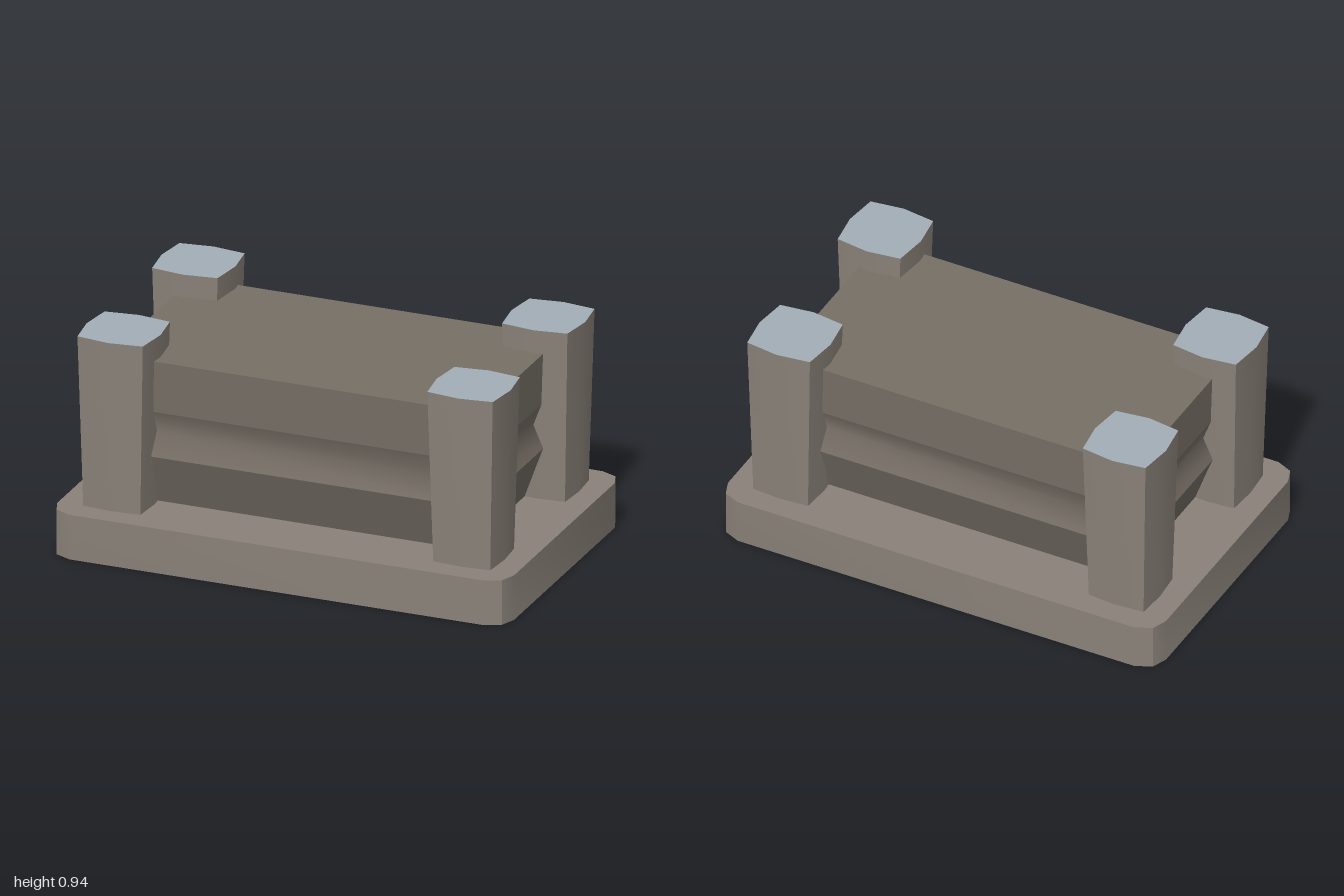
import * as THREE from 'three';
import { toCreasedNormals } from 'three/addons/utils/BufferGeometryUtils.js';

const stone = new THREE.MeshStandardMaterial({ color: 0x8a8279 });
const darkStone = new THREE.MeshStandardMaterial({ color: 0x776f66 });
const capStone = new THREE.MeshStandardMaterial({ color: 0xa3aeb6 });

function geometryFrom(positions, indices) {
  const geo = new THREE.BufferGeometry();
  geo.setAttribute('position', new THREE.Float32BufferAttribute(positions, 3));
  geo.setIndex(indices);
  geo.computeVertexNormals();
  return geo;
}

// Walls through a stack of [outline, y] rings; outlines run from +x towards +z
function walls(rings, closed = true) {
  const n = rings[0][0].length;
  const pos = [], idx = [];
  for (const [outline, y] of rings) for (const [x, z] of outline) pos.push(x, y, z);
  for (let r = 0; r < rings.length - 1; r++) {
    for (let i = 0; i < (closed ? n : n - 1); i++) {
      const a = r * n + i, b = r * n + (i + 1) % n;
      idx.push(a, a + n, b + n, a, b + n, b);
    }
  }
  return geometryFrom(pos, idx);
}

// Flat polygon facing up, or down when flipped
function lid(outline, y, down = false) {
  const pos = [0, y, 0], idx = [];
  outline.forEach(([x, z], i) => {
    pos.push(x, y, z);
    const a = i + 1, b = (i + 1) % outline.length + 1;
    idx.push(0, down ? a : b, down ? b : a);
  });
  return geometryFrom(pos, idx);
}

// Square with slightly bowed sides
function bowedSquare(corner, mid) {
  return [[mid, 0], [corner, corner], [0, mid], [-corner, corner],
    [-mid, 0], [-corner, -corner], [0, -mid], [corner, -corner]];
}

function add(parent, name, geo, material) {
  const mesh = new THREE.Mesh(geo, material);
  mesh.name = name;
  parent.add(mesh);
}

export function createModel() {
  const model = new THREE.Group();
  model.name = 'pedestal';
  const baseTop = 0.195;

  // Base slab with rounded corners
  const corner = [[1, 0.53], [0.975, 0.597], [0.905, 0.628]];
  const flipped = [...corner].reverse();
  const slab = [
    ...corner,
    ...flipped.map(([x, z]) => [-x, z]),
    ...corner.map(([x, z]) => [-x, -z]),
    ...flipped.map(([x, z]) => [x, -z]),
  ];
  const base = new THREE.Group();
  base.name = 'base';
  add(base, 'baseSides', toCreasedNormals(walls([[slab, 0], [slab, baseTop]]), 0.6), stone);
  add(base, 'baseTop', lid(slab, baseTop), stone);
  add(base, 'baseUnderside', lid(slab, 0, true), stone);
  model.add(base);

  // Central block: tapered foot, shallow groove, upright head
  const core = new THREE.Group();
  core.name = 'core';
  const rect = (inset) => {
    const x = 0.807 - inset, z = 0.44 - inset;
    return [[x, -z], [x, z], [-x, z], [-x, -z]];
  };
  const bands = {
    coreFoot: [[0.09, baseTop], [0.005, 0.42]],
    coreGroove: [[0.005, 0.42], [0.045, 0.52], [0.01, 0.615]],
    coreHead: [[0.01, 0.615], [0, 0.84]],
  };
  for (const [name, rows] of Object.entries(bands)) {
    for (let side = 0; side < 4; side++) {
      // Each side is its own strip, so normals blend only along the groove
      const rings = rows.map(([inset, y]) => {
        const r = rect(inset);
        return [[r[side], r[(side + 1) % 4]], y];
      });
      add(core, name, walls(rings, false), darkStone);
    }
  }
  add(core, 'coreTop', lid(rect(0), 0.84), darkStone);
  model.add(core);

  // Four corner posts that widen upwards, with pale tops
  const foot = bowedSquare(0.125, 0.135), head = bowedSquare(0.143, 0.162);
  const shaft = toCreasedNormals(walls([[foot, baseTop], [head, 0.94]]), 0.6);
  const cap = lid(head, 0.94);
  for (const sx of [1, -1]) {
    for (const sz of [1, -1]) {
      const post = new THREE.Group();
      post.name = (sz > 0 ? 'front' : 'back') + (sx > 0 ? 'Left' : 'Right') + 'Post';
      add(post, 'postShaft', shaft, stone);
      add(post, 'postCap', cap, capStone);
      post.position.set(sx * 0.766, 0, sz * 0.393);
      model.add(post);
    }
  }
  return model;
}
